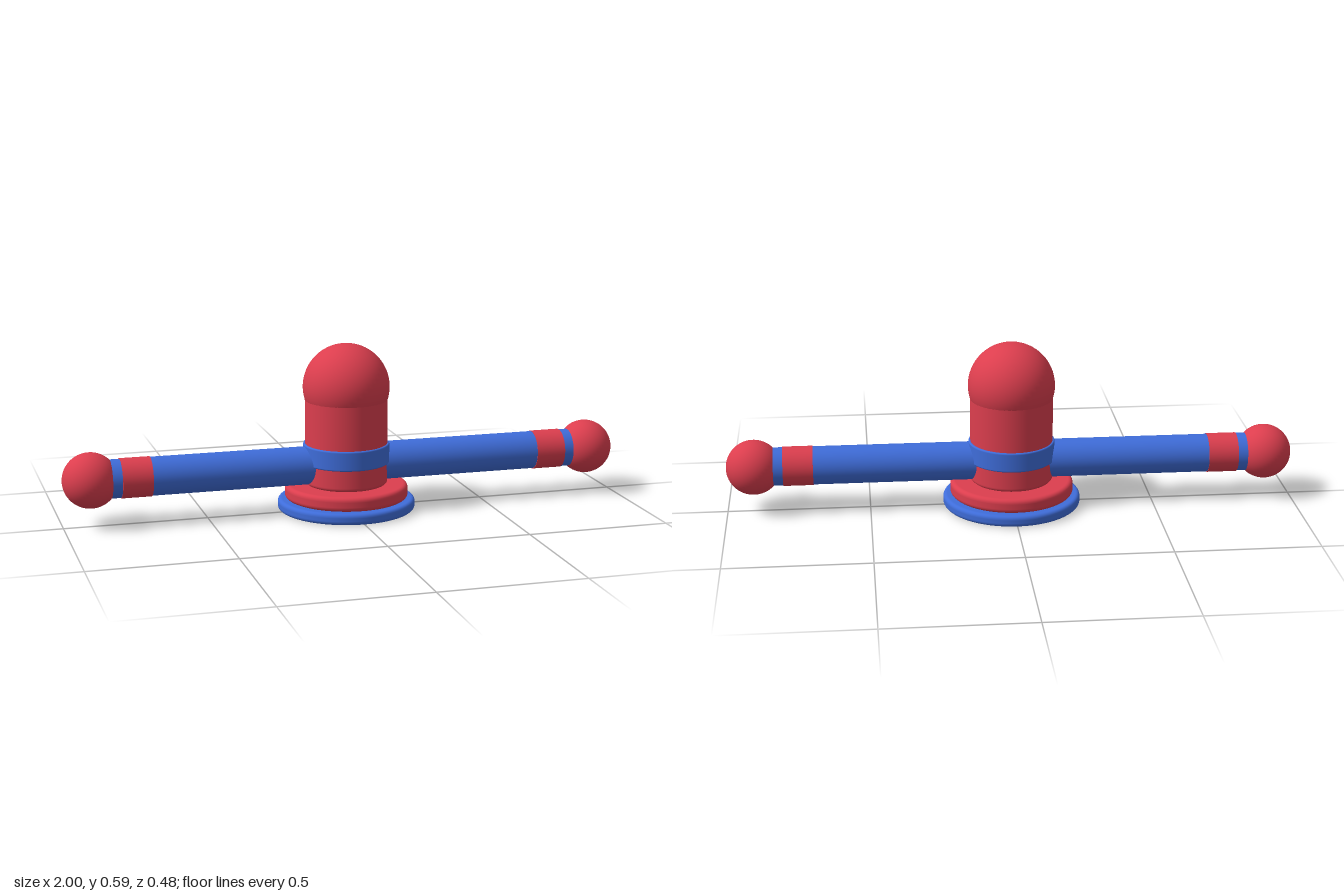
import * as THREE from 'three';

const red = new THREE.MeshStandardMaterial({ color: 0xdc3e4e });
red.name = 'red';
const blue = new THREE.MeshStandardMaterial({ color: 0x3f6dda });
blue.name = 'blue';

// Solid disc from y0 to y1 with softly rounded rims
function roundedDisc(name, radius, y0, y1, bevel, material) {
  const pts = [new THREE.Vector2(0, y0), new THREE.Vector2(radius - bevel * 1.1, y0)];
  const arc = (cy, start) => {
    for (let i = 0; i <= 6; i++) {
      const a = start + (i / 6) * Math.PI / 2;
      pts.push(new THREE.Vector2(radius - bevel + Math.cos(a) * bevel, cy + Math.sin(a) * bevel));
    }
  };
  arc(y0 + bevel, -Math.PI / 2);
  pts.push(new THREE.Vector2(radius, y0 + bevel * 1.1));
  pts.push(new THREE.Vector2(radius, y1 - bevel * 1.1));
  arc(y1 - bevel, 0);
  pts.push(new THREE.Vector2(radius - bevel * 1.1, y1), new THREE.Vector2(0, y1));
  const mesh = new THREE.Mesh(new THREE.LatheGeometry(pts, 64), material);
  mesh.name = name;
  return mesh;
}

function ball(name, radius, x, y) {
  const mesh = new THREE.Mesh(new THREE.SphereGeometry(radius, 48, 32), red);
  mesh.position.set(x, y, 0);
  mesh.name = name;
  return mesh;
}

// Horizontal cylinder between two x positions
function rod(name, radius, x0, x1, y, material) {
  const geometry = new THREE.CylinderGeometry(radius, radius, Math.abs(x1 - x0), 48);
  geometry.rotateZ(Math.PI / 2);
  const mesh = new THREE.Mesh(geometry, material);
  mesh.position.set((x0 + x1) / 2, y, 0);
  mesh.name = name;
  return mesh;
}

export function createModel() {
  const model = new THREE.Group();
  model.name = 'model';

  // Stepped base, column, collar and domed top
  model.add(
    roundedDisc('lowerBase', 0.242, 0, 0.04, 0.013, blue),
    roundedDisc('upperBase', 0.217, 0.04, 0.091, 0.015, red),
    roundedDisc('column', 0.145, 0.091, 0.45, 0.012, red),
    roundedDisc('collar', 0.152, 0.167, 0.237, 0.005, blue),
    ball('dome', 0.152, 0, 0.437),
  );

  // Mirrored arms with end bands and ball tips
  const armY = 0.163;
  for (const [side, s] of [['left', 1], ['right', -1]]) {
    const arm = new THREE.Group();
    arm.name = side + 'Arm';
    arm.add(
      rod('armTube', 0.067, 0, s * 0.87, armY, blue),
      rod('armBand', 0.069, s * 0.697, s * 0.802, armY, red),
      ball('armTip', 0.096, s * 0.904, armY),
    );
    model.add(arm);
  }
  return model;
}
